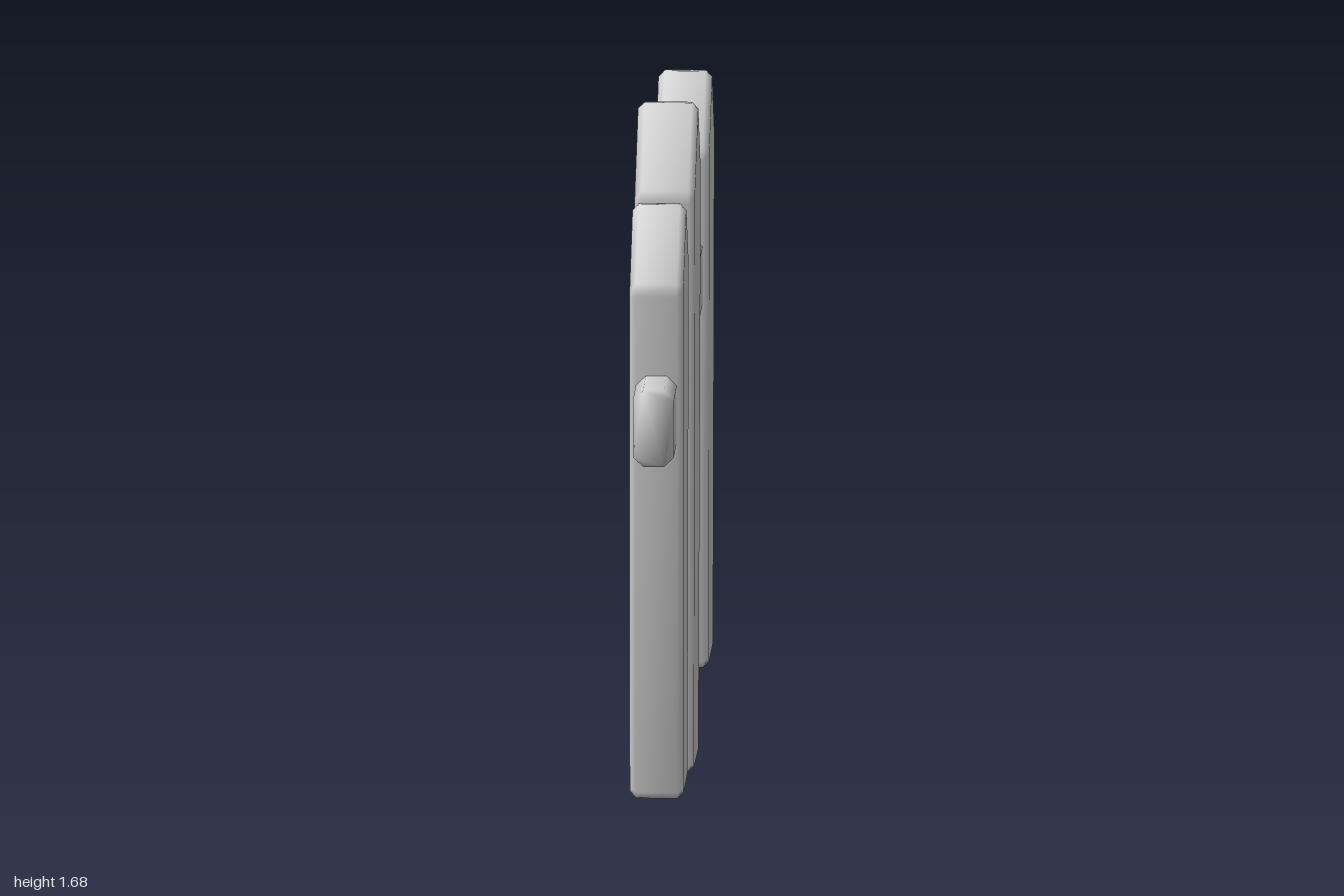
import * as THREE from 'three';
import { mergeVertices } from 'three/addons/utils/BufferGeometryUtils.js';

const material = new THREE.MeshStandardMaterial({ color: 0xcccccc });

// Cut every corner of an outline with a short straight chamfer
function chamferedShape(corners, cut) {
  const pts = corners.map(([x, y]) => new THREE.Vector2(x, y));
  const out = [];
  pts.forEach((p, i) => {
    const prev = pts[(i + pts.length - 1) % pts.length];
    const next = pts[(i + 1) % pts.length];
    for (const q of [prev, next]) {
      out.push(p.clone().add(q.clone().sub(p).setLength(cut)));
    }
  });
  return new THREE.Shape(out);
}

// Weld shared corners so the shading runs softly over the edges
function soften(geometry) {
  geometry.deleteAttribute('uv');
  geometry.deleteAttribute('normal');
  const welded = mergeVertices(geometry, 1e-4);
  welded.computeVertexNormals();
  return welded;
}

// Board with a pointed top; corners are [z, y], listed from the +z foot round to the +z shoulder
function picket(name, halfThickness, corners) {
  const bevel = 0.016;
  const shape = chamferedShape(corners.map(([z, y]) => [-z, y]), 0.018);
  const geometry = new THREE.ExtrudeGeometry(shape, {
    depth: 2 * (halfThickness - bevel),
    bevelThickness: bevel, bevelSize: bevel, bevelOffset: -bevel, bevelSegments: 1,
  });
  geometry.translate(0, 0, bevel - halfThickness);
  geometry.rotateY(Math.PI / 2);
  const mesh = new THREE.Mesh(soften(geometry), material);
  mesh.name = name;
  return mesh;
}

export function createModel() {
  const group = new THREE.Group();
  group.name = 'fence';

  // Three leaning pickets, each a little different
  group.add(
    picket('frontPicket', 0.067,
      [[0.838, 0.05], [0.592, 0.044], [0.528, 1.36], [0.666, 1.55], [0.848, 1.36]]),
    picket('middlePicket', 0.075,
      [[0.44, 0.018], [0.165, 0.0], [0.04, 1.47], [0.184, 1.69], [0.395, 1.485]]),
    picket('backPicket', 0.067,
      [[-0.562, 0.034], [-0.81, 0.026], [-0.888, 1.34], [-0.756, 1.535], [-0.575, 1.35]]),
  );

  // Rail with chamfered long edges, running through the pickets
  const railShape = chamferedShape(
    [[-0.051, 0.945], [0.051, 0.945], [0.051, 1.14], [-0.051, 1.14]], 0.025);
  const railGeometry = new THREE.ExtrudeGeometry(railShape, { depth: 2, bevelEnabled: false });
  railGeometry.translate(0, 0, -1);
  const rail = new THREE.Mesh(soften(railGeometry), material);
  rail.name = 'rail';
  group.add(rail);

  return group;
}
